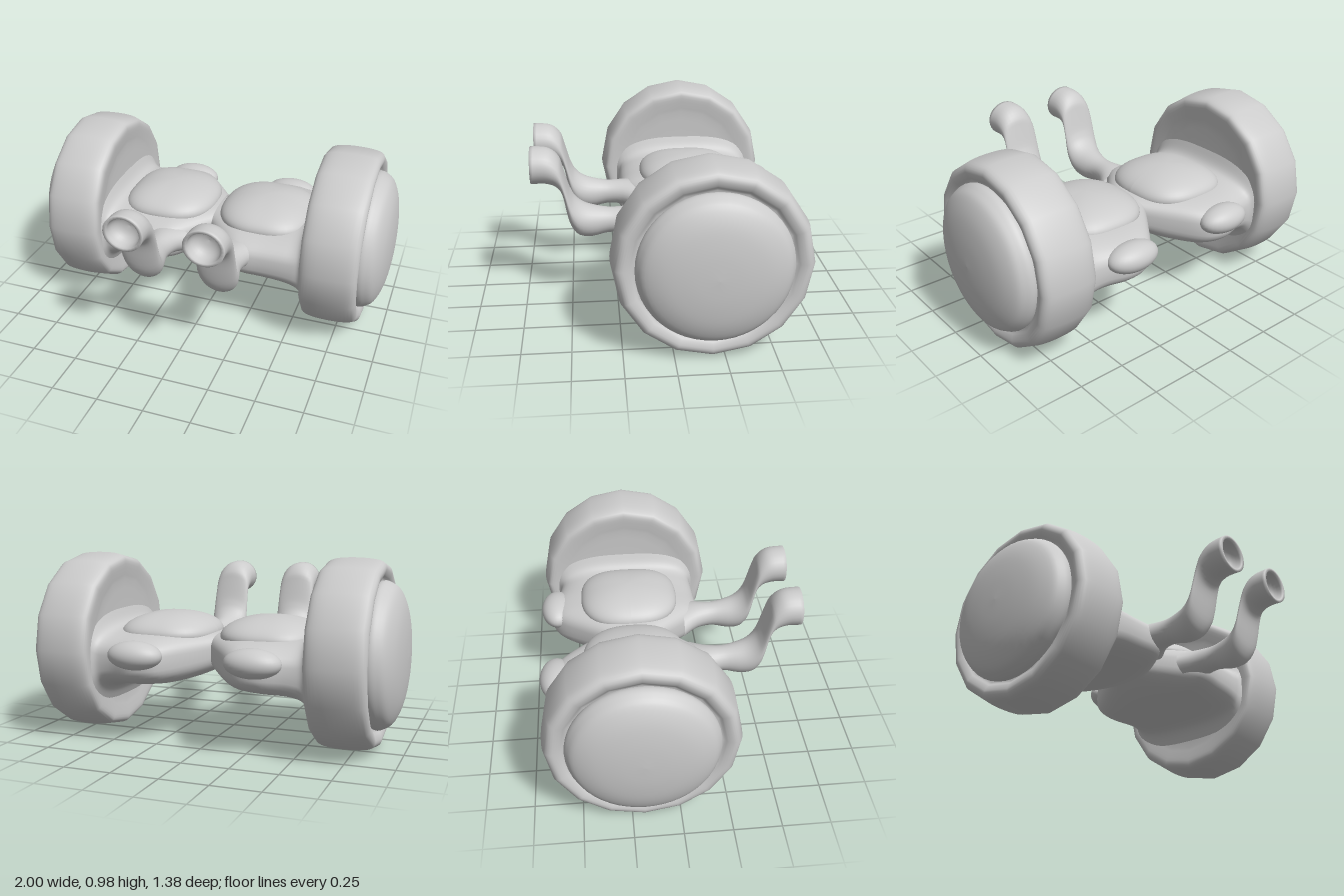
import * as THREE from 'three';

const material = new THREE.MeshStandardMaterial({ color: 0xcccccc, side: THREE.DoubleSide });
const AXLE_Y = 0.495, AXLE_Z = -0.187;

// Smooth skin over a list of closed rings (each an array of Vector3)
function loft(rings) {
  const n = rings[0].length, pos = [], idx = [];
  rings.forEach(r => r.forEach(p => pos.push(p.x, p.y, p.z)));
  for (let i = 0; i < rings.length - 1; i++) {
    for (let j = 0; j < n; j++) {
      const a = i * n + j, b = i * n + (j + 1) % n;
      idx.push(a, b, a + n, b, b + n, a + n);
    }
  }
  const g = new THREE.BufferGeometry();
  g.setAttribute('position', new THREE.Float32BufferAttribute(pos, 3));
  g.setIndex(idx);
  g.computeVertexNormals();
  return g;
}

// Evenly sampled smooth interpolation through rows of numbers
function smoothRows(rows, steps) {
  const out = [];
  const at = k => rows[Math.min(Math.max(k, 0), rows.length - 1)];
  for (let i = 0; i < rows.length - 1; i++) {
    for (let s = 0; s < steps; s++) {
      const t = s / steps;
      out.push(rows[i].map((b, c) => {
        const a = at(i - 1)[c], d = at(i + 1)[c], e = at(i + 2)[c];
        return b + 0.5 * t * (d - a + t * (2 * a - 5 * b + 4 * d - e + t * (3 * (b - d) + e - a)));
      }));
    }
  }
  out.push(rows[rows.length - 1]);
  return out;
}

const superPow = (v, n) => Math.sign(v) * Math.pow(Math.abs(v), 2 / n);

// Half of the pinched body; rows: x, low y, high y, back z, front z
function bodyGeometry() {
  const rows = smoothRows([
    [0.0, 0.38, 0.57, -0.35, -0.01],
    [0.08, 0.345, 0.58, -0.46, 0.09],
    [0.17, 0.32, 0.585, -0.575, 0.19],
    [0.24, 0.31, 0.587, -0.625, 0.215],
    [0.34, 0.302, 0.588, -0.635, 0.21],
    [0.45, 0.292, 0.59, -0.60, 0.207],
    [0.52, 0.272, 0.597, -0.585, 0.205],
    [0.555, 0.24, 0.625, -0.585, 0.205],
    [0.58, 0.19, 0.68, -0.60, 0.22],
  ], 4);
  return loft(rows.map(([x, y0, y1, z0, z1]) => Array.from({ length: 48 }, (_, j) => {
    const a = j / 48 * Math.PI * 2;
    return new THREE.Vector3(x,
      (y0 + y1) / 2 + superPow(Math.cos(a), 3) * (y1 - y0) / 2,
      (z0 + z1) / 2 + superPow(Math.sin(a), 2.8) * (z1 - z0) / 2);
  })));
}

// S-shaped arm with open cup; rows: upper z, upper y, lower z, lower y, half width
function armGeometry() {
  const outer = smoothRows([
    [0.12, 0.54, 0.12, 0.38, 0.15],
    [0.20, 0.545, 0.20, 0.405, 0.09],
    [0.29, 0.547, 0.29, 0.41, 0.067],
    [0.38, 0.565, 0.38, 0.392, 0.085],
    [0.43, 0.585, 0.45, 0.405, 0.10],
    [0.465, 0.615, 0.49, 0.46, 0.107],
    [0.485, 0.65, 0.51, 0.535, 0.107],
    [0.50, 0.69, 0.525, 0.62, 0.105],
    [0.525, 0.785, 0.54, 0.66, 0.103],
    [0.54, 0.835, 0.57, 0.688, 0.103],
    [0.575, 0.875, 0.61, 0.70, 0.104],
    [0.62, 0.892, 0.64, 0.702, 0.105],
    [0.688, 0.895, 0.688, 0.70, 0.106],
  ], 3);
  const cup = smoothRows([
    [0.688, 0.88, 0.688, 0.715, 0.088],
    [0.64, 0.87, 0.64, 0.725, 0.078],
    [0.61, 0.84, 0.61, 0.755, 0.045],
    [0.60, 0.798, 0.60, 0.798, 0.0],
  ], 3);
  return loft([...outer, ...cup].map(([za, ya, zb, yb, w]) => Array.from({ length: 28 }, (_, j) => {
    const a = j / 28 * Math.PI * 2, c = Math.cos(a) / 2;
    return new THREE.Vector3(0.207 - Math.sin(a) * w,
      (ya + yb) / 2 + (ya - yb) * c, (za + zb) / 2 + (za - zb) * c);
  })));
}

// Lathe around the sideways axle; points: [radius, x]
function axleLathe(points, sides) {
  const g = new THREE.LatheGeometry(points.map(([r, x]) => new THREE.Vector2(r, x)), sides);
  return g.rotateZ(-Math.PI / 2).translate(0, AXLE_Y, AXLE_Z);
}

function wheelGeometry() {
  const profile = smoothRows([
    [0, 0.585], [0.30, 0.585], [0.385, 0.577], [0.445, 0.572], [0.472, 0.59],
    [0.486, 0.64], [0.49, 0.72], [0.486, 0.80], [0.474, 0.855],
    [0.445, 0.876], [0.41, 0.868], [0.385, 0.852], [0.34, 0.85],
  ], 3);
  return axleLathe(profile, 16);
}

function hubGeometry() {
  const profile = smoothRows([
    [0.372, 0.84], [0.379, 0.868], [0.368, 0.90], [0.335, 0.94],
    [0.25, 0.975], [0.13, 0.994], [0, 1.0],
  ], 4);
  return axleLathe(profile, 48);
}

// Cushion with a rounder inner side and a squarer outer side
function cushionGeometry() {
  const g = new THREE.SphereGeometry(1, 48, 32), p = g.attributes.position;
  for (let i = 0; i < p.count; i++) {
    const x = p.getX(i), z = p.getZ(i), r = Math.hypot(x, z);
    if (r < 1e-6) continue;
    const n = x > 0 ? 3 : 2.4;
    const k = Math.pow(Math.pow(Math.abs(x / r), n) + Math.pow(Math.abs(z / r), n), -1 / n);
    p.setX(i, x * k);
    p.setZ(i, z * k);
  }
  g.scale(0.257, 0.108, 0.275).translate(0.278, 0.568, -0.185);
  g.computeVertexNormals();
  return g;
}

// Oval bump at the back of the body
function bumpGeometry() {
  return new THREE.SphereGeometry(1, 32, 20).scale(0.148, 0.075, 0.09).translate(0.315, 0.49, -0.602);
}

// Mirror across x and keep faces pointing outward
function mirrored(geometry) {
  const g = geometry.clone().scale(-1, 1, 1), idx = g.index.array;
  for (let i = 0; i < idx.length; i += 3) {
    [idx[i], idx[i + 1]] = [idx[i + 1], idx[i]];
  }
  return g;
}

export function createModel() {
  const model = new THREE.Group();
  model.name = 'wheeledBody';
  const parts = {
    Body: bodyGeometry(), Arm: armGeometry(), Wheel: wheelGeometry(),
    HubCap: hubGeometry(), Cushion: cushionGeometry(), BackBump: bumpGeometry(),
  };
  for (const [name, geometry] of Object.entries(parts)) {
    for (const side of ['left', 'right']) {
      const mesh = new THREE.Mesh(side === 'left' ? geometry : mirrored(geometry), material);
      mesh.name = side + name;
      model.add(mesh);
    }
  }
  return model;
}
